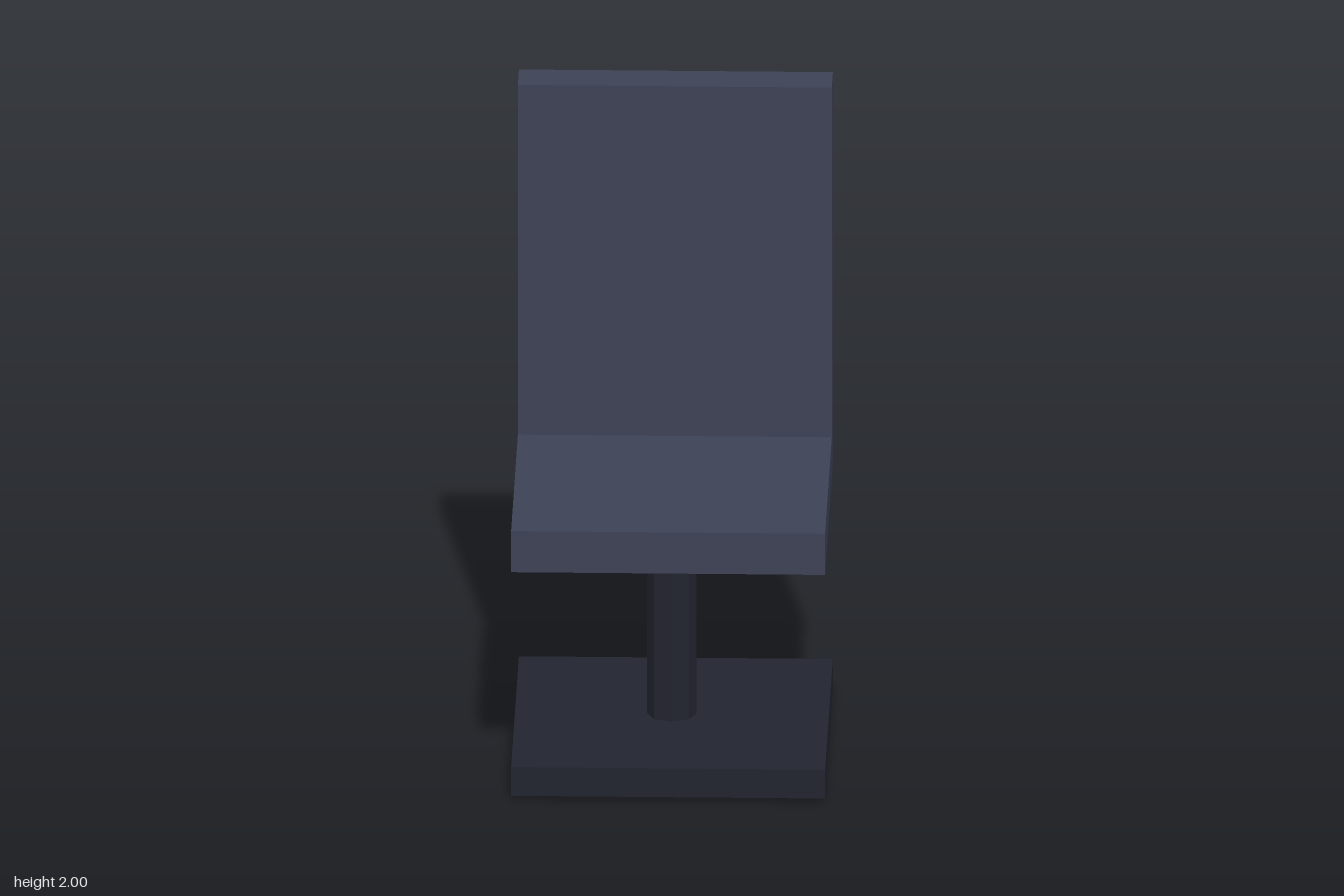
import * as THREE from 'three';

export function createModel() {
  const group = new THREE.Group();
  const padding = new THREE.MeshStandardMaterial({ color: 0x3d4256, flatShading: true });
  const frame = new THREE.MeshStandardMaterial({ color: 0x22242f, flatShading: true });
  const width = 0.95;
  const axisZ = 0.005; // seat, column and base share this centre line

  function addPart(name, geometry, material, y, z) {
    const mesh = new THREE.Mesh(geometry, material);
    mesh.name = name;
    mesh.position.set(0, y, z);
    group.add(mesh);
  }

  // Square foot plate, lifted slightly by the column end
  addPart('base', new THREE.BoxGeometry(width, 0.093, width), frame, 0.06, axisZ);

  // Eight-sided column from the floor to the seat
  addPart('column', new THREE.CylinderGeometry(0.075, 0.075, 0.76, 8), frame, 0.38, axisZ);

  // Seat cushion
  addPart('seat', new THREE.BoxGeometry(width, 0.133, width), padding, 0.803, axisZ);

  // Upright back, sunk a little into the seat and overhanging its rear edge
  addPart('backrest', new THREE.BoxGeometry(width, 1.14, 0.133), padding, 1.43, -0.4135);

  return group;
}
